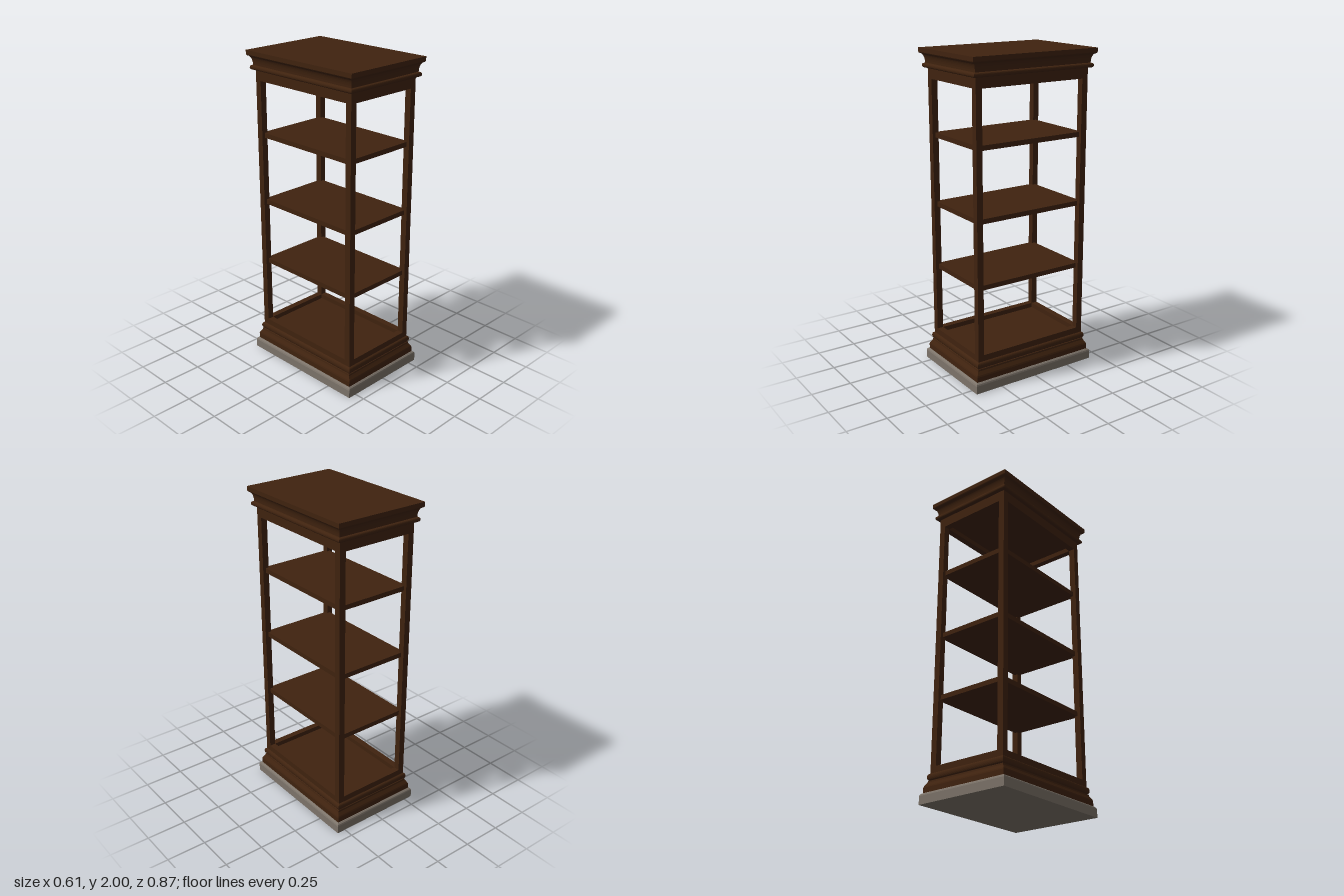
import * as THREE from 'three';

const HX = 0.265, HZ = 0.392;      // half size of the body
const POST = 0.04;

// Sweeps a profile of [offset from body face, y] around the rectangle with mitred corners, capped at both ends
function moulding(profile) {
  const pos = [];
  const ring = ([d, y]) => [[1, 1], [1, -1], [-1, -1], [-1, 1]]
    .map(([sx, sz]) => [sx * (HX + d), y, sz * (HZ + d)]);
  const quad = (a, b, c, d) => pos.push(...a, ...b, ...c, ...a, ...c, ...d);
  const rings = profile.map(ring);
  for (let k = 0; k < rings.length - 1; k++) {
    const lo = rings[k], hi = rings[k + 1];
    for (let i = 0; i < 4; i++) {
      const j = (i + 1) % 4;
      quad(lo[i], lo[j], hi[j], hi[i]);
    }
  }
  const first = rings[0], last = rings[rings.length - 1];
  quad(first[3], first[2], first[1], first[0]);
  quad(...last);
  const g = new THREE.BufferGeometry();
  g.setAttribute('position', new THREE.Float32BufferAttribute(pos, 3));
  g.computeVertexNormals();
  return g;
}

// Points on an elliptical arc, for beads and coves
function arc(cd, cy, rd, ry, from, to, n = 8) {
  return Array.from({ length: n + 1 }, (_, i) => {
    const a = from + (to - from) * i / n;
    return [cd + rd * Math.cos(a), cy + ry * Math.sin(a)];
  });
}

export function createModel() {
  const wood = new THREE.MeshStandardMaterial({ color: 0x40230f });
  wood.name = 'darkWood';
  const stone = new THREE.MeshStandardMaterial({ color: 0x7d746a });
  stone.name = 'greyStone';

  const model = new THREE.Group();
  model.name = 'displayShelf';
  const add = (name, geometry, material, x = 0, y = 0, z = 0) => {
    const mesh = new THREE.Mesh(geometry, material);
    mesh.name = name;
    mesh.position.set(x, y, z);
    model.add(mesh);
  };
  const H = Math.PI / 2;

  // Stone plinth with softened top edge
  add('plinth', moulding([[0.041, 0], [0.041, 0.05], [0.038, 0.059], [0.03, 0.066]]), stone);

  // Wooden base: skirting, ogee, bead, rail and sunken floor
  add('base', moulding([
    [0.026, 0.066], [0.026, 0.098], [0.023, 0.107], [0.016, 0.118], [0.01, 0.128], [0.008, 0.138],
    ...arc(0.002, 0.16, 0.011, 0.02, -H * 0.9, H * 0.9),
    [0, 0.182], [0, 0.22], [-POST, 0.22], [-POST, 0.19],
  ]), wood);

  // Cornice: recessed ceiling, rail, bead, cove and top slab
  add('cornice', moulding([
    [-POST, 1.85], [-POST, 1.82], [0, 1.82], [0, 1.884], [0.016, 1.884],
    ...arc(0.016, 1.897, 0.009, 0.013, -H * 0.9, H * 0.9),
    [0.011, 1.912],
    ...arc(0.033, 1.915, 0.022, 0.052, Math.PI, H),
    [0.036, 1.969], [0.039, 1.974], [0.039, 2],
  ]), wood);

  // Four corner posts
  const postGeo = new THREE.BoxGeometry(POST, 1.6, POST);
  for (const sx of [1, -1]) for (const sz of [1, -1]) {
    add((sz > 0 ? 'front' : 'back') + (sx > 0 ? 'Left' : 'Right') + 'Post', postGeo, wood,
      sx * (HX - POST / 2), 1.02, sz * (HZ - POST / 2));
  }

  // Three shelves let into the posts
  const shelfGeo = new THREE.BoxGeometry(2 * HX - POST, 0.03, 2 * HZ - POST);
  [0.642, 1.05, 1.482].forEach((y, i) => add('shelf' + (i + 1), shelfGeo, wood, 0, y, 0));

  return model;
}
